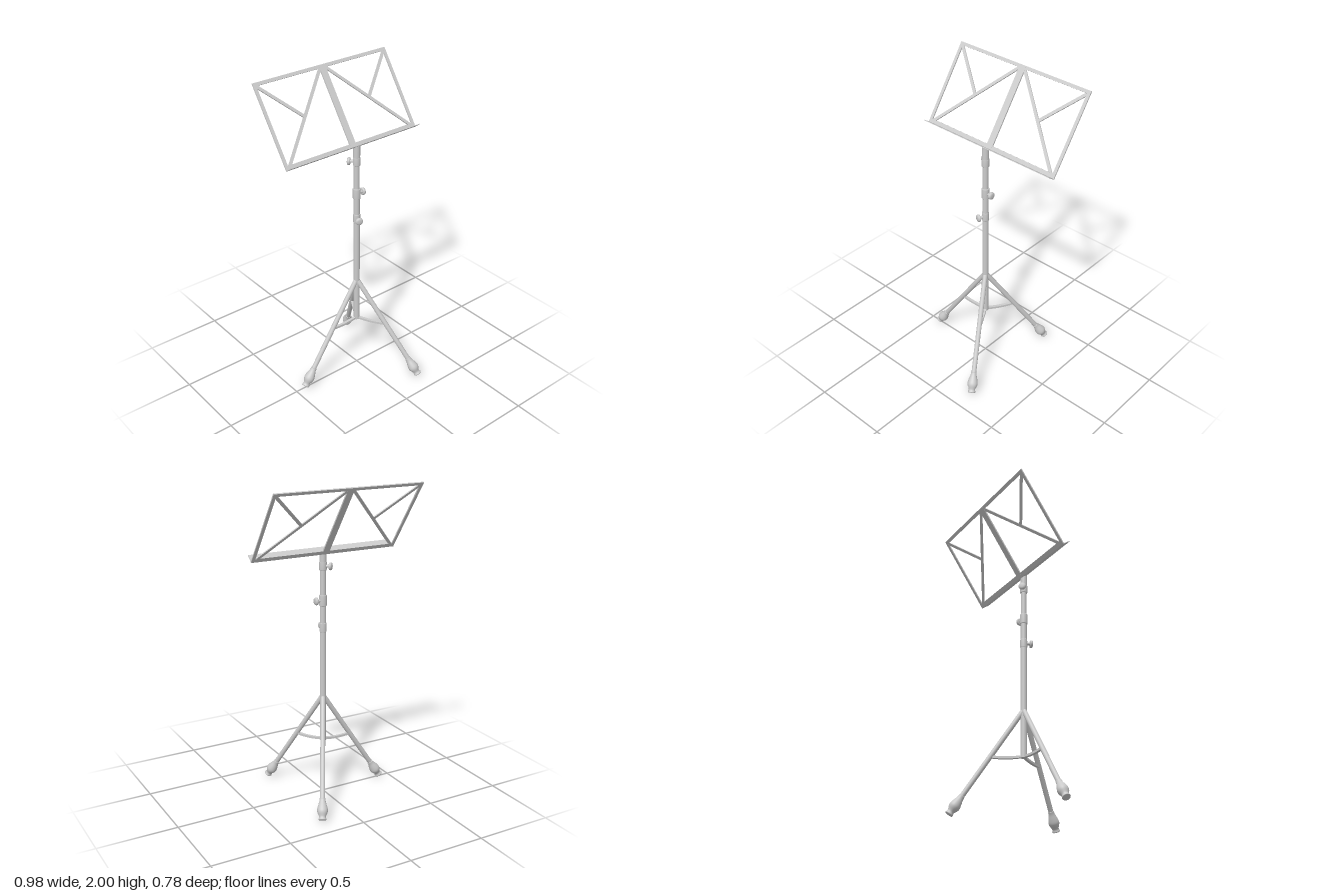
import * as THREE from 'three';

const material = new THREE.MeshStandardMaterial({ color: 0xcccccc, side: THREE.DoubleSide });
const V = (x, y, z) => new THREE.Vector3(x, y, z);
const UP = V(0, 1, 0);

function add(parent, name, geometry) {
  const mesh = new THREE.Mesh(geometry, material);
  mesh.name = name;
  parent.add(mesh);
  return mesh;
}

// Round rod between two points
function rod(parent, name, a, b, r) {
  const d = b.clone().sub(a);
  const mesh = add(parent, name, new THREE.CylinderGeometry(r, r, d.length(), 24));
  mesh.position.copy(a).add(b).multiplyScalar(0.5);
  mesh.quaternion.setFromUnitVectors(UP, d.normalize());
  return mesh;
}

// Flat bar in the desk plane, between two 2D points
function bar(parent, name, x1, y1, x2, y2, width, depth = 0.008) {
  const mesh = add(parent, name, new THREE.BoxGeometry(Math.hypot(x2 - x1, y2 - y1), width, depth));
  mesh.position.set((x1 + x2) / 2, (y1 + y2) / 2, 0);
  mesh.rotation.z = Math.atan2(y2 - y1, x2 - x1);
  return mesh;
}

// Lathe from [radius, height] pairs
const lathe = (points) =>
  new THREE.LatheGeometry(points.map(([r, y]) => new THREE.Vector2(r, y)), 28);

// Leg pointing along +x, with its rubber foot and brace
function makeLeg() {
  const leg = new THREE.Group();
  leg.name = 'leg';
  const top = V(0.006, 0.65, 0);
  const ankle = V(0.37, 0.1, 0);
  rod(leg, 'legTube', top, ankle, 0.0155);
  add(leg, 'legTopCap', new THREE.SphereGeometry(0.0155, 20, 12)).position.copy(top);

  const profile = new THREE.SplineCurve([
    [0.018, -0.025], [0.02, -0.005], [0.028, 0.022], [0.033, 0.045],
    [0.031, 0.062], [0.022, 0.082], [0.021, 0.092], [0.025, 0.103],
  ].map(([r, y]) => new THREE.Vector2(r, y))).getPoints(28).map((p) => [p.x, p.y]);
  const foot = add(leg, 'foot', lathe([[0, -0.025], ...profile, [0.023, 0.107], [0, 0.107]]));
  foot.position.copy(ankle);
  foot.quaternion.setFromUnitVectors(UP, ankle.clone().sub(top).normalize());

  // Slightly bowed strap from the pole to the leg
  const brace = new THREE.Shape();
  brace.moveTo(0, 0.358);
  brace.quadraticCurveTo(0.1, 0.34, 0.2, 0.353);
  brace.lineTo(0.192, 0.367);
  brace.quadraticCurveTo(0.1, 0.354, 0, 0.372);
  brace.closePath();
  const strap = add(leg, 'brace',
    new THREE.ExtrudeGeometry(brace, { depth: 0.018, bevelEnabled: false, curveSegments: 12 }));
  strap.position.z = -0.009;
  return leg;
}

// Collar with a clamping knob turned to the given (x, z) direction
function makeClamp(y, height, radius, dx, dz) {
  const clamp = new THREE.Group();
  clamp.name = 'clamp';
  clamp.position.y = y;
  const h = height / 2;
  add(clamp, 'collar', lathe([
    [0, -h], [radius - 0.003, -h], [radius, -h + 0.004], [radius, h - 0.004], [radius - 0.003, h], [0, h],
  ]));
  const dir = V(dx, 0, dz).normalize();
  rod(clamp, 'knobStem', V(0, 0, 0), dir.clone().multiplyScalar(0.042), 0.009);
  const knob = add(clamp, 'knob', lathe([
    [0, 0.038], [0.018, 0.038], [0.023, 0.041], [0.024, 0.049], [0.021, 0.055], [0.012, 0.058], [0, 0.058],
  ]));
  knob.quaternion.setFromUnitVectors(UP, dir);
  return clamp;
}

export function createModel() {
  const model = new THREE.Group();
  model.name = 'musicStand';

  // Tripod: one leg to -x, two splayed to +x
  for (let i = 0; i < 3; i++) {
    const leg = makeLeg();
    leg.rotation.y = Math.PI + (i * 2 * Math.PI) / 3;
    model.add(leg);
  }

  // Telescoping pole
  rod(model, 'lowerPole', V(0, 0.355, 0), V(0, 1.1, 0), 0.0195);
  rod(model, 'middlePole', V(0, 1.1, 0), V(0, 1.27, 0), 0.019);
  rod(model, 'upperPole', V(0, 1.27, 0), V(0, 1.49, 0), 0.018);
  model.add(makeClamp(1.105, 0.06, 0.022, -0.35, 0.94));
  model.add(makeClamp(1.275, 0.07, 0.024, 1, 0));
  model.add(makeClamp(1.49, 0.055, 0.023, -0.72, -0.7));

  // Desk tilt, taken from its lower and upper edges
  const base = V(0, 1.568, -0.024);
  const tilt = Math.atan2(0.304, 0.43);

  // Head tube, its top sliced along the ledge
  const headGeometry = new THREE.CylinderGeometry(0.021, 0.021, 0.1, 28);
  const p = headGeometry.attributes.position;
  for (let i = 0; i < p.count; i++) {
    const slice = base.y + (p.getZ(i) - base.z) * Math.tan(tilt) - 0.002;
    p.setY(i, p.getY(i) > 0 ? slice : 1.49);
  }
  headGeometry.computeVertexNormals();
  add(model, 'headTube', headGeometry);

  // Desk, built upright and then leaned back
  const desk = new THREE.Group();
  desk.name = 'desk';
  desk.position.copy(base);
  desk.rotation.x = -tilt;
  const W = 0.488;
  const H = 0.526;
  bar(desk, 'topRail', -W, H - 0.01, W, H - 0.01, 0.02);
  bar(desk, 'bottomRail', -W, 0.014, W, 0.014, 0.028);
  bar(desk, 'centreBar', 0, 0, 0, H, 0.043, 0.009);
  for (const s of [-1, 1]) {
    bar(desk, 'sideRail', s * (W - 0.01), 0, s * (W - 0.01), H, 0.02);
    bar(desk, 'diagonal', s * 0.015, H - 0.015, s * 0.465, 0.012, 0.019, 0.007);
    bar(desk, 'cornerStrut', s * 0.475, H - 0.015, s * 0.243, H / 2 + 0.002, 0.019, 0.007);
  }
  const ledge = add(desk, 'ledge', new THREE.BoxGeometry(0.97, 0.004, 0.056));
  ledge.position.set(0, 0.002, 0.028);
  model.add(desk);

  return model;
}
